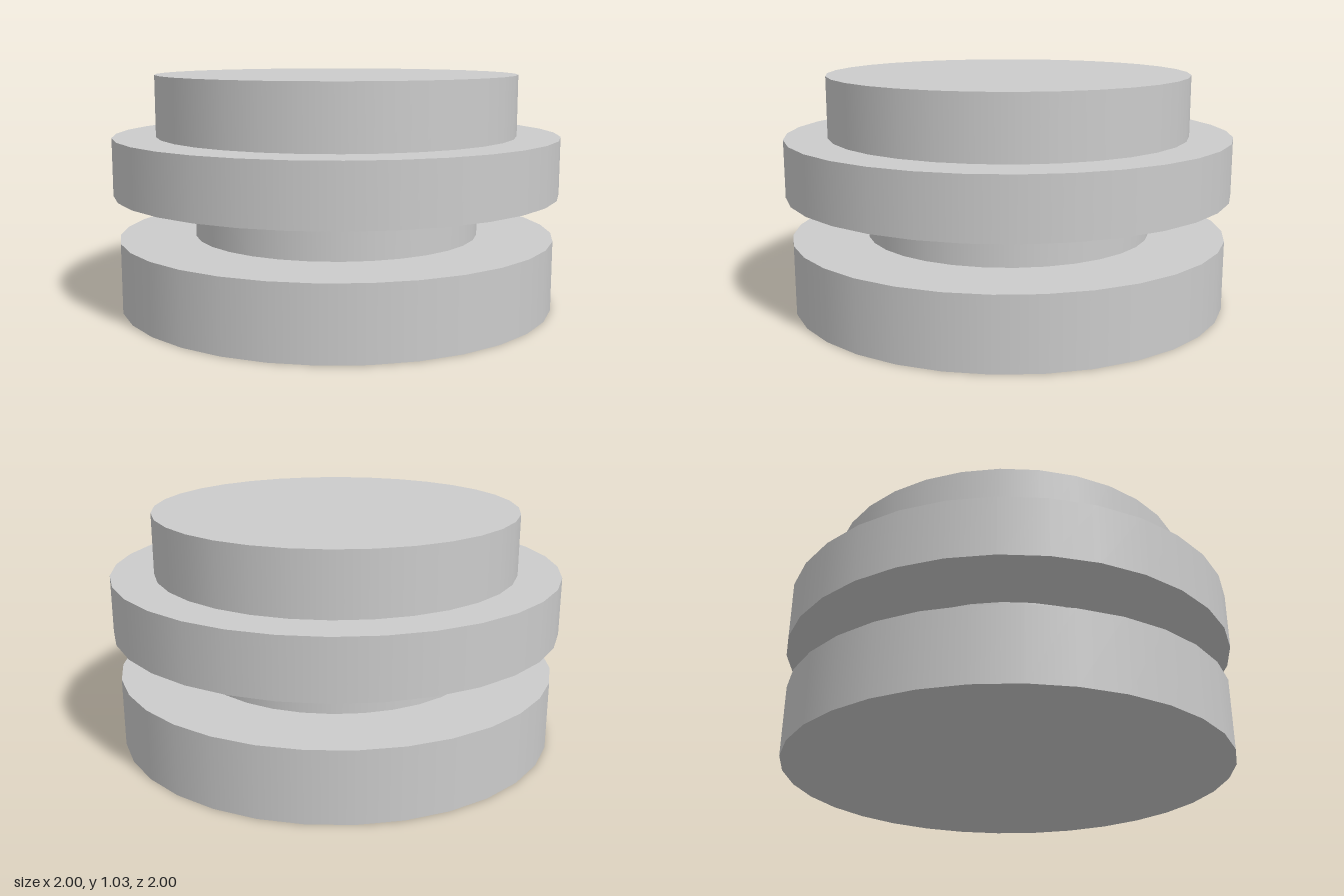
import * as THREE from 'three';

const SIDES = 32;

export function createModel() {
  const group = new THREE.Group();
  const material = new THREE.MeshStandardMaterial({ color: 0xcccccc });

  // One stacked disc: radius, bottom and top heights, turn about y
  const addDisc = (name, radius, y0, y1, turn = 0) => {
    const geometry = new THREE.CylinderGeometry(radius, radius, y1 - y0, SIDES);
    const mesh = new THREE.Mesh(geometry, material);
    mesh.name = name;
    mesh.position.y = (y0 + y1) / 2;
    mesh.rotation.y = turn;
    group.add(mesh);
  };

  addDisc('base', 0.98, 0, 0.31, Math.PI / SIDES); // turned half a facet
  addDisc('neck', 0.643, 0.31, 0.505);
  addDisc('flange', 1, 0.505, 0.76);
  addDisc('topCap', 0.81, 0.76, 1.03);

  return group;
}
